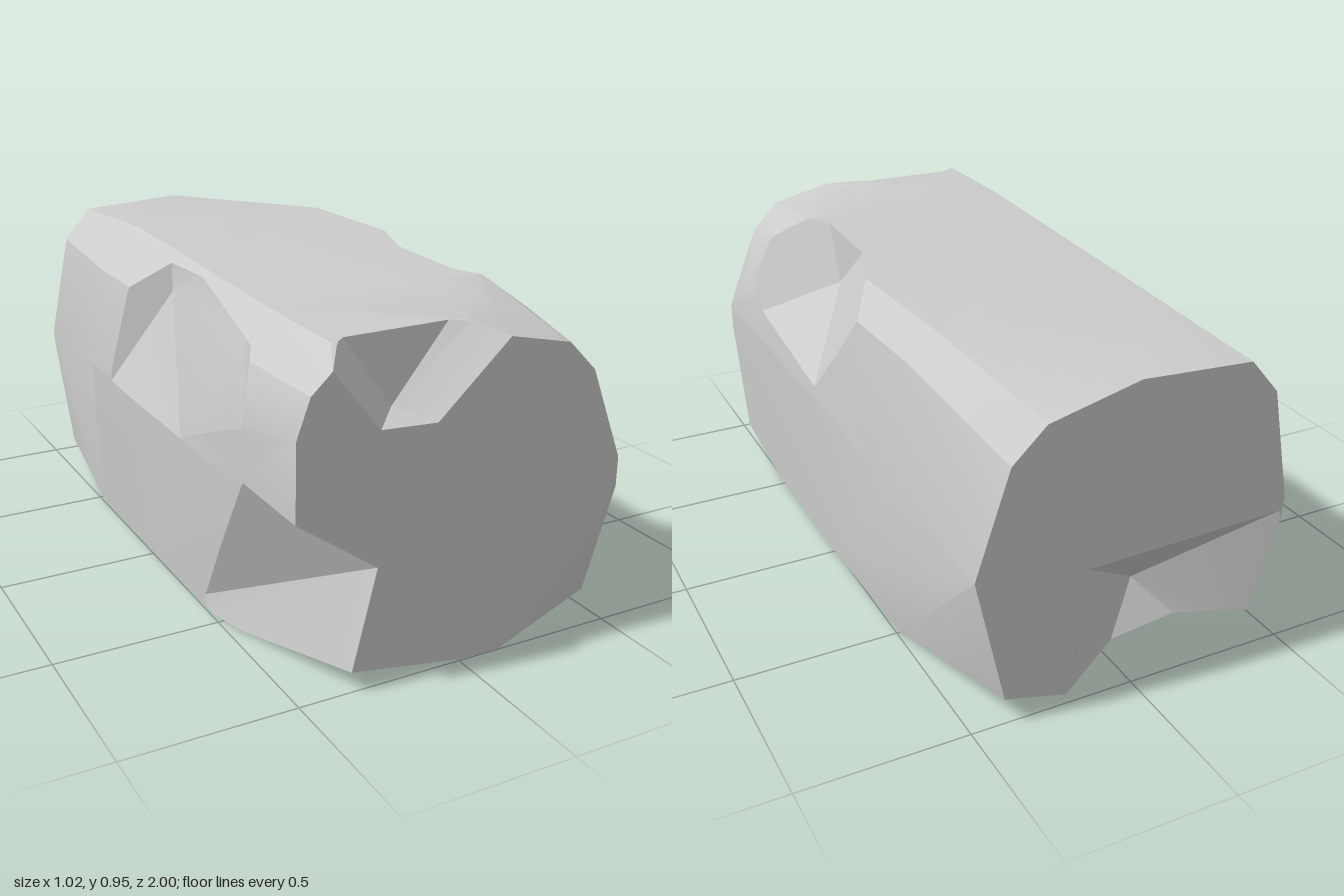
import * as THREE from 'three';
import { ConvexGeometry } from 'three/addons/geometries/ConvexGeometry.js';
import { toCreasedNormals } from 'three/addons/utils/BufferGeometryUtils.js';

const EPS = 1e-6;
const vec = (p) => new THREE.Vector3(...p);

// Triangles and outward planes of the convex hull around some points
function hull(points) {
  const pos = new ConvexGeometry(points).getAttribute('position');
  const faces = [], planes = [];
  for (let i = 0; i < pos.count; i += 3) {
    const face = [0, 1, 2].map((k) => new THREE.Vector3().fromBufferAttribute(pos, i + k));
    faces.push(face);
    planes.push(new THREE.Plane().setFromCoplanarPoints(...face));
  }
  return { faces, planes };
}

// The part of a polygon on one side of a plane (sign 1: outside, -1: inside)
function clip(poly, plane, sign) {
  const out = [];
  poly.forEach((a, i) => {
    const b = poly[(i + 1) % poly.length];
    const da = sign * plane.distanceToPoint(a), db = sign * plane.distanceToPoint(b);
    if (da >= -EPS) out.push(a);
    if ((da > EPS && db < -EPS) || (da < -EPS && db > EPS)) out.push(a.clone().lerp(b, da / (da - db)));
  });
  return out;
}

function area(poly) {
  const sum = new THREE.Vector3();
  for (let i = 1; i + 1 < poly.length; i++) {
    sum.add(poly[i].clone().sub(poly[0]).cross(poly[i + 1].clone().sub(poly[0])));
  }
  return sum.length() / 2;
}
const solid = (poly) => poly.length > 2 && area(poly) > 1e-8;

// Pieces of a polygon outside, or the one piece inside, a convex solid
function outside(poly, planes) {
  const pieces = [];
  let rest = poly;
  for (const plane of planes) {
    if (!solid(rest)) break;
    const piece = clip(rest, plane, 1);
    if (solid(piece)) pieces.push(piece);
    rest = clip(rest, plane, -1);
  }
  return solid(rest) ? pieces : pieces.length ? pieces : [poly];
}
function inside(poly, planes) {
  return planes.reduce((rest, plane) => (rest.length > 2 ? clip(rest, plane, -1) : []), poly);
}

// Convex block minus convex chips
function carve(block, chips) {
  let polys = block.faces;
  for (const chip of chips) {
    polys = polys.flatMap((poly) => {
      const cut = inside(poly, chip.planes);
      return solid(cut) ? outside(poly, chip.planes) : [poly];
    });
  }
  for (const chip of chips) {
    for (const face of chip.faces) {
      const wall = inside(face, block.planes);
      if (solid(wall)) polys.push(wall.slice().reverse());
    }
  }
  const pos = [];
  for (const p of polys) {
    for (let i = 1; i + 1 < p.length; i++) {
      if (area([p[0], p[i], p[i + 1]]) < 1e-9) continue;
      for (const v of [p[0], p[i], p[i + 1]]) pos.push(v.x, v.y, v.z);
    }
  }
  const geo = new THREE.BufferGeometry();
  geo.setAttribute('position', new THREE.Float32BufferAttribute(pos, 3));
  return toCreasedNormals(geo, 0.4);
}

// Chip with its deepest point at apex, opening out through the rim
function conicChip(apex, rim) {
  const a = vec(apex);
  return hull([a, ...rim.map((p) => vec(p).sub(a).multiplyScalar(3).add(a))]);
}

export function createModel() {
  // Cross-sections of the block from back to front: z, then x, y pairs
  const sections = [
    [-1, [[0.49, 0.475], [0.39, 0.785], [0.29, 0.88], [0.02, 0.945], [-0.32, 0.925], [-0.41, 0.82],
      [-0.48, 0.475], [-0.44, 0.07], [0.21, 0.03], [0.4, 0.08]]],
    [-0.5, [[0.505, 0.5], [0.45, 0.875], [0.365, 0.955], [-0.31, 0.95], [-0.45, 0.82], [-0.505, 0.5],
      [-0.49, 0], [0.49, 0]]],
    [0, [[0.51, 0.5], [0.47, 0.875], [0.39, 0.955], [-0.32, 0.95], [-0.46, 0.83], [-0.51, 0.5],
      [-0.495, 0], [0.505, 0]]],
    [0.55, [[0.51, 0.5], [0.46, 0.87], [0.34, 0.953], [-0.36, 0.947], [-0.47, 0.84], [-0.51, 0.6],
      [-0.49, 0], [0.505, 0]]],
    [0.9, [[0.505, 0.05], [0.05, 0.947], [-0.36, 0.943]]],
    [1, [[0.51, 0.42], [0.51, 0.51], [0.4, 0.785], [0.31, 0.875], [0.11, 0.92], [-0.32, 0.92],
      [-0.41, 0.905], [-0.47, 0.85], [-0.51, 0.74], [-0.51, 0.5], [-0.47, 0.08], [0, 0.004], [0.13, 0.002]]],
  ];
  const block = hull(sections.flatMap(([z, ring]) => ring.map(([x, y]) => new THREE.Vector3(x, y, z))));

  const chips = [
    // upper edge of the left side
    conicChip([0.31, 0.785, 0.36], [
      [0.49, 0.62, 0.63], [0.505, 0.55, 0.11], [0.48, 0.875, 0], [0.39, 0.945, 0.05], [0.31, 0.945, 0.16],
      [0.3, 0.945, 0.46], [0.38, 0.95, 0.57], [0.47, 0.85, 0.64]]),
    // upper edge of the right side
    conicChip([-0.36, 0.83, -0.11], [
      [-0.51, 0.49, -0.31], [-0.51, 0.5, 0.28], [-0.45, 0.82, 0.25], [-0.36, 0.92, 0.1], [-0.36, 0.92, -0.11]]),
    // top of the front
    conicChip([-0.18, 0.745, 0.9], [
      [-0.36, 0.845, 1], [-0.27, 0.73, 1], [-0.1, 0.72, 1], [0.11, 0.92, 1], [0.06, 0.945, 0.92],
      [0, 0.945, 0.88], [-0.3, 0.925, 0.88], [-0.32, 0.92, 0.9]]),
    // bottom of the back
    conicChip([-0.156, 0.15, -0.74], [
      [0.21, 0.03, -1], [0.155, 0.42, -1], [-0.467, 0.435, -1], [-0.39, 0.055, -0.89],
      [-0.253, 0.045, -0.805], [-0.02, 0, -0.845]]),
    // broken lower corner of the front
    hull([
      [-0.27, 0.35, 1], [-0.27, 0.35, 1.3], [-0.37, -0.05, 1], [-0.37, -0.05, 1.3], [-0.56, -0.05, 0.22],
      [-0.75, 0.69, 0.4], [-0.75, 0.69, 1.3], [-0.75, -0.05, 0.22], [-0.75, -0.05, 1.3]].map(vec)),
  ];

  const stone = new THREE.Mesh(carve(block, chips), new THREE.MeshStandardMaterial({ color: 0xcccccc }));
  stone.name = 'chippedStoneBlock';
  const group = new THREE.Group();
  group.name = 'stoneBlock';
  group.add(stone);
  return group;
}
